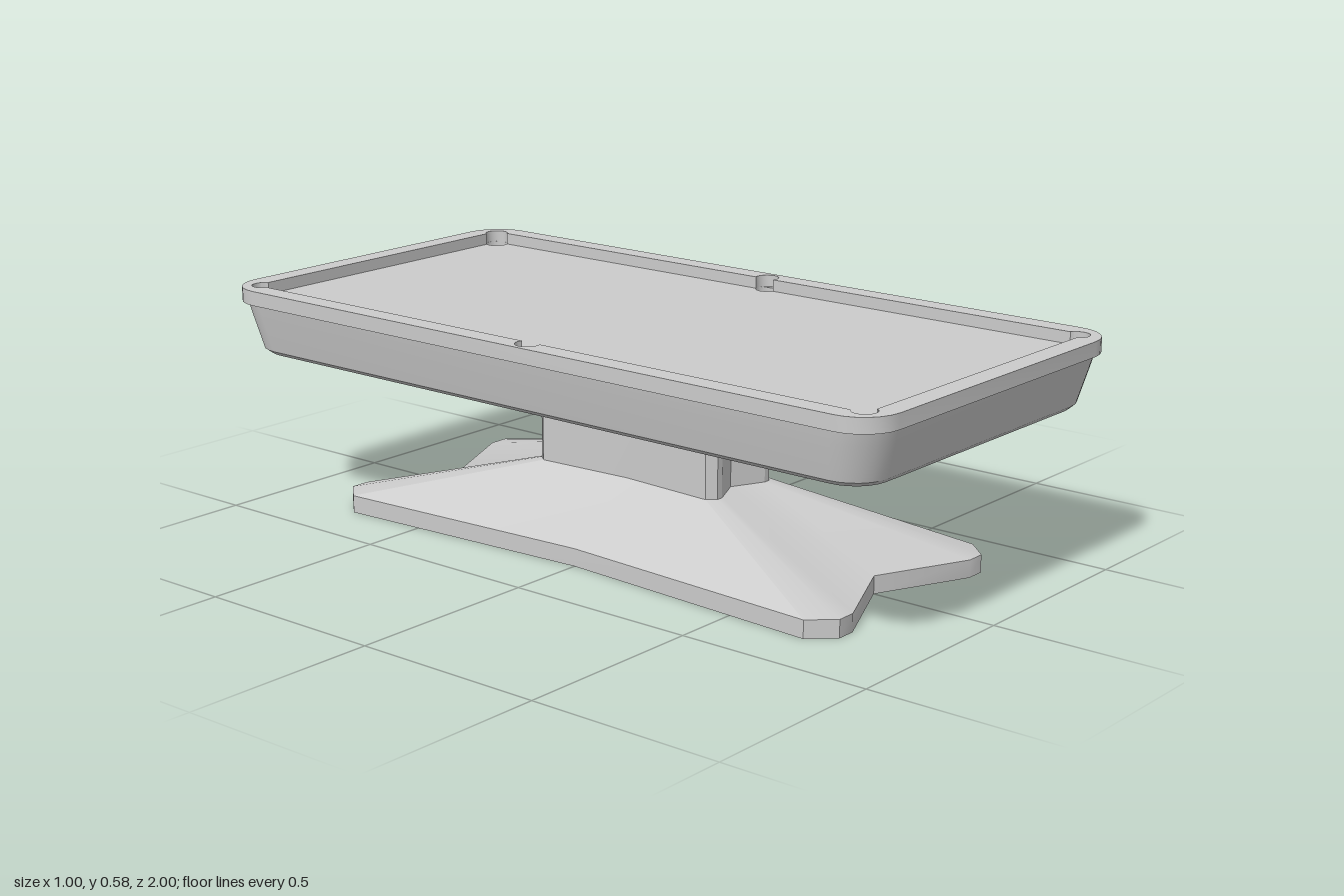
import * as THREE from 'three';
import { toCreasedNormals } from 'three/addons/utils/BufferGeometryUtils.js';

const RAD = Math.PI / 180;
const RIM_BOTTOM = 0.548, RIM_TOP = 0.585, BED_TOP = 0.555, BED_BOTTOM = 0.525;
const POCKET_R = 0.03;
// Pocket centres, counter-clockwise: [x, z, outward angle, half sweep of the cut in the cushions]
const POCKETS = [
  [0.457, 0, 0, 113.6], [0.432, 0.932, 45, 109.3], [-0.432, 0.932, 135, 109.3],
  [-0.457, 0, 180, 113.6], [-0.432, -0.932, 225, 109.3], [0.432, -0.932, 315, 109.3],
];

// Rounded rectangle as counter-clockwise points
function roundedRect(hx, hz, r, steps = 6) {
  const points = [];
  [[1, 1], [-1, 1], [-1, -1], [1, -1]].forEach(([sx, sz], k) => {
    for (let i = 0; i <= steps; i++) {
      const a = (k + i / steps) * Math.PI / 2;
      points.push(new THREE.Vector2(sx * (hx - r) + r * Math.cos(a), sz * (hz - r) + r * Math.sin(a)));
    }
  });
  return points;
}

// Skin through horizontal outlines listed from bottom to top, optionally closed below
function loft(sections, capBottom) {
  const n = sections[0].points.length;
  const positions = [], index = [];
  for (const { y, points } of sections) for (const p of points) positions.push(p.x, y, p.y);
  for (let s = 0; s < sections.length - 1; s++) {
    for (let i = 0; i < n; i++) {
      const a = s * n + i, b = s * n + (i + 1) % n;
      index.push(a, a + n, b, b, a + n, b + n);
    }
  }
  if (capBottom) {
    positions.push(0, sections[0].y, 0);
    const centre = positions.length / 3 - 1;
    for (let i = 0; i < n; i++) index.push(centre, i, (i + 1) % n);
  }
  const geometry = new THREE.BufferGeometry();
  geometry.setAttribute('position', new THREE.Float32BufferAttribute(positions, 3));
  geometry.setIndex(index);
  return toCreasedNormals(geometry, 25 * RAD);
}

// Horizontal slab from a shape
function slab(shape, bottom, top) {
  const geometry = new THREE.ExtrudeGeometry(shape, { depth: top - bottom, bevelEnabled: false, curveSegments: 6 });
  geometry.rotateX(-Math.PI / 2).translate(0, bottom, 0);
  return toCreasedNormals(geometry, 35 * RAD);
}

export function createModel() {
  const group = new THREE.Group();
  const solid = new THREE.MeshStandardMaterial({ color: 0xcccccc });
  const open = new THREE.MeshStandardMaterial({ color: 0xcccccc, side: THREE.DoubleSide });
  const add = (name, geometry, material = solid) => {
    const mesh = new THREE.Mesh(geometry, material);
    mesh.name = name;
    group.add(mesh);
    return mesh;
  };

  // Hollow pedestal: a four-footed outline drawn in to a notched column
  const star = (mx, mz) => {
    const quarter = [[0.3, 0], [0.345, 0.72], [0.29, 0.78], [0.24, 0.78], [0, 0.67]];
    const half = [...quarter, ...quarter.slice(1, 4).reverse().map(([x, z]) => [-x, z])];
    const full = [...half, ...half.map(([x, z]) => [-x, -z])];
    return full.map(([x, z]) => new THREE.Vector2(x * mx, z * mz));
  };
  const foot = star(1, 1), column = star(0.35, 0.362);
  add('pedestalBase', loft([
    { y: 0, points: foot }, { y: 0.045, points: foot }, { y: 0.178, points: column },
  ]), open);
  add('pedestalColumn', loft([
    { y: 0.178, points: column }, { y: 0.416, points: column },
  ]), open);

  // Tapered apron with a small bevel at its lower edge
  add('apron', loft([
    [0.415, 0.45, 0.945, 0.085], [0.427, 0.465, 0.957, 0.09],
    [0.515, 0.485, 0.981, 0.1], [0.55, 0.491, 0.989, 0.1],
  ].map(([y, hx, hz, r]) => ({ y, points: roundedRect(hx, hz, r) })), true));

  // Rim, cut out along the cushions and around the pockets
  const rim = new THREE.Shape(roundedRect(0.5, 1, 0.1));
  const opening = new THREE.Path();
  for (const [x, z, angle, sweep] of POCKETS) {
    opening.absarc(x, z, POCKET_R, (angle - sweep) * RAD, (angle + sweep) * RAD, false);
  }
  opening.closePath();
  rim.holes.push(opening);
  add('rim', slab(rim, RIM_BOTTOM, RIM_TOP));

  // Playing bed with pocket holes
  const bed = new THREE.Shape(roundedRect(0.486, 0.982, 0.1));
  for (const [x, z] of POCKETS) {
    bed.holes.push(new THREE.Path().absarc(x, z, POCKET_R, 0, Math.PI * 2, true));
  }
  add('playingBed', slab(bed, BED_BOTTOM, BED_TOP));

  // Pocket floors
  const floor = new THREE.CircleGeometry(POCKET_R + 0.001, 12).rotateX(-Math.PI / 2);
  for (const [x, z] of POCKETS) add('pocketFloor', floor).position.set(x, BED_BOTTOM + 0.002, z);

  return group;
}
